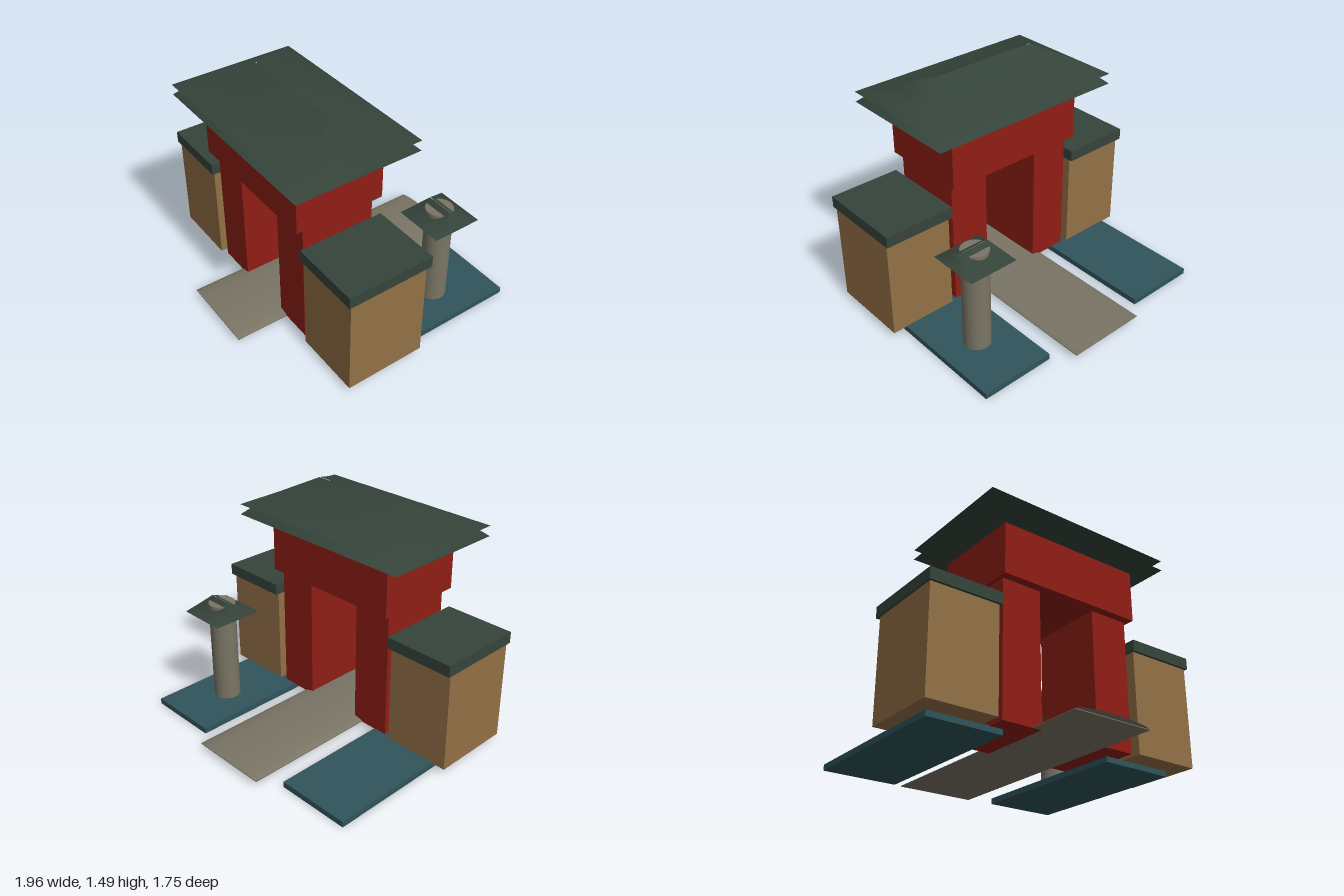
import * as THREE from 'three';

const mat = (color) => new THREE.MeshStandardMaterial({ color });

// Box given by its min/max extents on each axis
function box(name, [x0, x1], [y0, y1], [z0, z1], material) {
  const mesh = new THREE.Mesh(new THREE.BoxGeometry(x1 - x0, y1 - y0, z1 - z0), material);
  mesh.position.set((x0 + x1) / 2, (y0 + y1) / 2, (z0 + z1) / 2);
  mesh.name = name;
  return mesh;
}

// Hipped roof lofted through rectangles [halfX, y, halfZ], smooth slopes, closed below
function hipRoof(name, rings, material) {
  const pos = [];
  const index = [];
  const corners = ([x, y, z]) => [x, y, z, x, y, -z, -x, y, -z, -x, y, z];
  rings.forEach((ring) => pos.push(...corners(ring)));
  for (let r = 0; r < rings.length - 1; r++) {
    for (let i = 0; i < 4; i++) {
      const a = r * 4 + i, b = r * 4 + (i + 1) % 4;
      index.push(a, b, b + 4, a, b + 4, a + 4);
    }
  }
  const soffit = pos.length / 3;
  pos.push(...corners(rings[0]));
  index.push(soffit, soffit + 2, soffit + 1, soffit, soffit + 3, soffit + 2);
  const geo = new THREE.BufferGeometry();
  geo.setAttribute('position', new THREE.Float32BufferAttribute(pos, 3));
  geo.setIndex(index);
  geo.computeVertexNormals();
  const mesh = new THREE.Mesh(geo, material);
  mesh.name = name;
  return mesh;
}

// Shallow arched walkway with open ends over a thin base
function walkway(halfW, y, rise, z0, z1, material) {
  const group = new THREE.Group();
  group.name = 'walkway';
  const n = 16, pos = [], index = [];
  for (let i = 0; i <= n; i++) {
    const a = Math.PI * i / n;
    const x = halfW * Math.cos(a), h = y + rise * Math.sin(a);
    pos.push(x, h, z0, x, h, z1);
    if (i < n) index.push(2 * i, 2 * i + 2, 2 * i + 1, 2 * i + 1, 2 * i + 2, 2 * i + 3);
  }
  const geo = new THREE.BufferGeometry();
  geo.setAttribute('position', new THREE.Float32BufferAttribute(pos, 3));
  geo.setIndex(index);
  geo.computeVertexNormals();
  const top = material.clone();
  top.side = THREE.DoubleSide;
  const arch = new THREE.Mesh(geo, top);
  arch.name = 'walkwayArch';
  group.add(arch, box('walkwayBase', [-halfW, halfW], [y, y + 0.005], [z0, z1], material));
  return group;
}

export function createModel() {
  const model = new THREE.Group();
  model.name = 'gatehouse';
  const red = mat(0x8f1e15), tan = mat(0x937046), green = mat(0x35443a);
  const teal = mat(0x2f545b), stone = mat(0x7a7565);

  // Mirrored parts: ground slabs, gate legs and side blocks with caps
  for (const [side, s] of [['left', 1], ['right', -1]]) {
    const span = (a, b) => (s > 0 ? [a, b] : [-b, -a]);
    model.add(
      box(side + 'Slab', span(0.38, 0.875), [0.04, 0.078], [-0.885, 0.28], teal),
      box(side + 'GateLeg', span(0.203, 0.471), [0.075, 0.94], [-0.10, 0.395], red),
      box(side + 'Block', span(0.513, 0.966), [0.075, 0.74], [-0.115, 0.42], tan),
      box(side + 'BlockCap', span(0.503, 0.978), [0.74, 0.815], [-0.143, 0.437], green),
    );
  }

  // Gate lintel
  model.add(box('gateLintel', [-0.497, 0.495], [0.938, 1.275], [-0.155, 0.45], red));

  // Two-tier gate roof
  const lower = hipRoof('lowerRoof', [[0.672, 0, 0.424], [0.60, 0.067, 0.345], [0.5, 0.09, 0.25], [0.36, 0.1, 0.1]], green);
  lower.position.set(-0.002, 1.309, 0.143);
  const upper = hipRoof('upperRoof', [[0.672, 0, 0.424], [0.53, 0.07, 0.22], [0.377, 0.153, 0.002]], green);
  upper.position.set(-0.002, 1.377, 0.143);
  model.add(lower, upper);

  // Walkway through the gate
  model.add(walkway(0.268, 0.075, 0.033, -1, 0.75, stone));

  // Stone pillar whose top pokes through its small roof
  const pillar = new THREE.Mesh(new THREE.CylinderGeometry(0.088, 0.088, 0.695, 32), stone);
  pillar.name = 'pillar';
  pillar.position.set(0.627, 0.4225, -0.505);
  const pillarRoof = hipRoof('pillarRoof', [[0.167, 0, 0.169], [0.132, 0.041, 0.088], [0.094, 0.088, 0.002]], green);
  pillarRoof.position.set(0.627, 0.701, -0.508);
  model.add(pillar, pillarRoof);

  return model;
}
